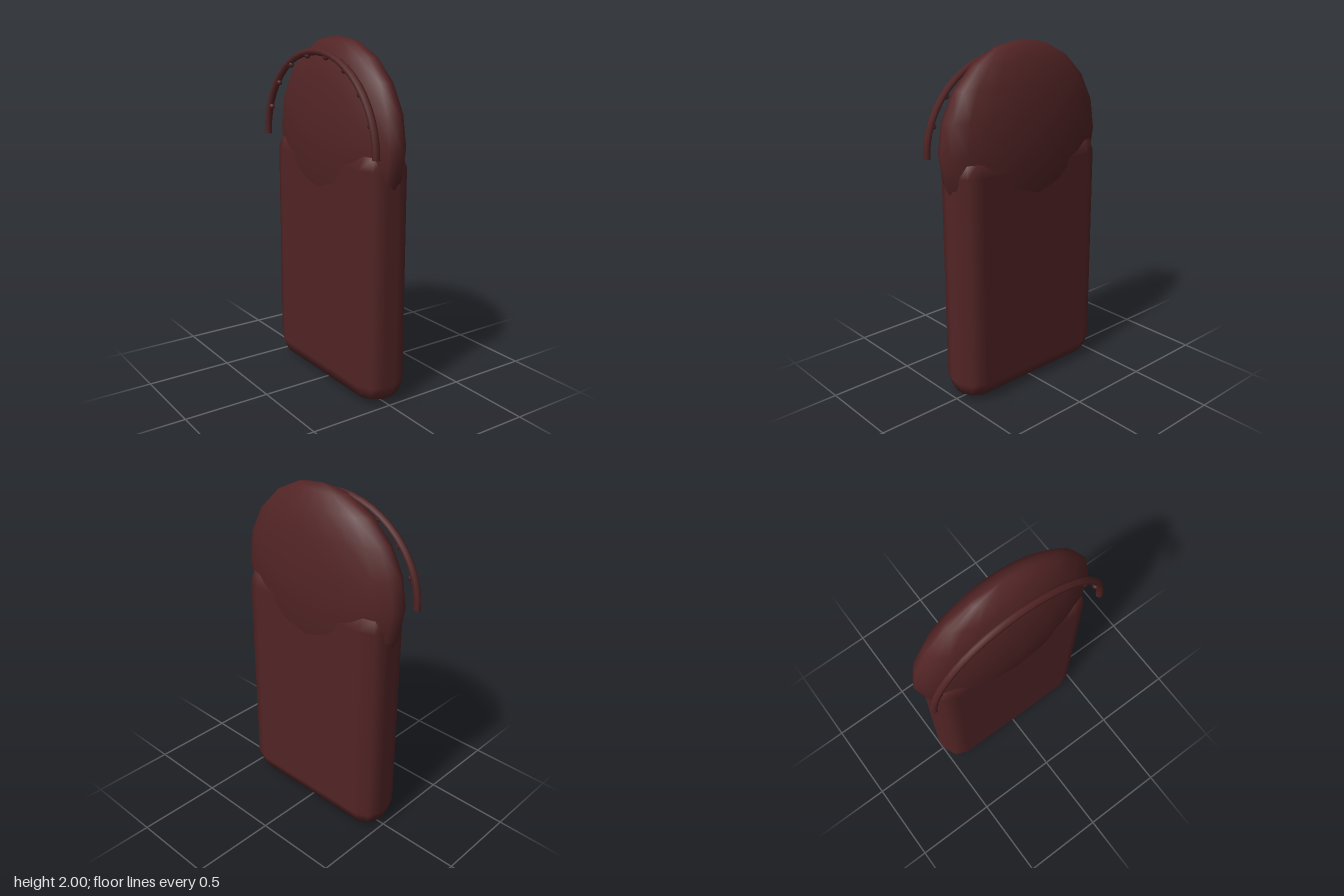
import * as THREE from 'three';
import { RoundedBoxGeometry } from 'three/addons/geometries/RoundedBoxGeometry.js';

export function createModel() {
  const group = new THREE.Group();
  const maroon = new THREE.MeshStandardMaterial({ color: 0x522425 });
  maroon.name = 'dark maroon';

  const add = (name, geometry, x, y, z, parent = group) => {
    const mesh = new THREE.Mesh(geometry, maroon);
    mesh.name = name;
    mesh.position.set(x, y, z);
    parent.add(mesh);
    return mesh;
  };

  // Upright slab with a two-step bevel on every edge
  add('body', new RoundedBoxGeometry(0.29, 1.445, 1.01, 1, 0.115), 0, 0.7225, 0);

  // Flattened dome sunk into the top of the slab
  add('dome', new THREE.SphereGeometry(1, 20, 10).scale(0.17, 0.55, 0.56), 0, 1.45, 0);

  // Thin six-sided trim arch standing beside the dome
  const arch = new THREE.Group();
  arch.name = 'trimArch';
  arch.position.set(-0.145, 1.405, 0);
  group.add(arch);
  const radius = 0.54, thickness = 0.021, squash = 0.945;
  const tube = new THREE.TorusGeometry(radius, thickness, 6, 24, Math.PI);
  add('archTube', tube.rotateY(Math.PI / 2).scale(1, squash, 1), 0, 0, 0, arch);

  for (const side of [-1, 1]) {
    // Closed ends of the arch
    const cap = new THREE.CircleGeometry(thickness, 6, Math.PI / 2).rotateX(Math.PI / 2);
    add('archEnd', cap, 0, 0, side * radius, arch);

    // Small studs along the inner edge
    for (const degrees of [10, 30, 50, 70]) {
      const a = THREE.MathUtils.degToRad(degrees);
      const r = radius - 0.019;
      add('stud', new THREE.SphereGeometry(0.017, 8, 6),
        0, Math.cos(a) * r * squash, side * Math.sin(a) * r, arch);
    }
  }
  return group;
}
